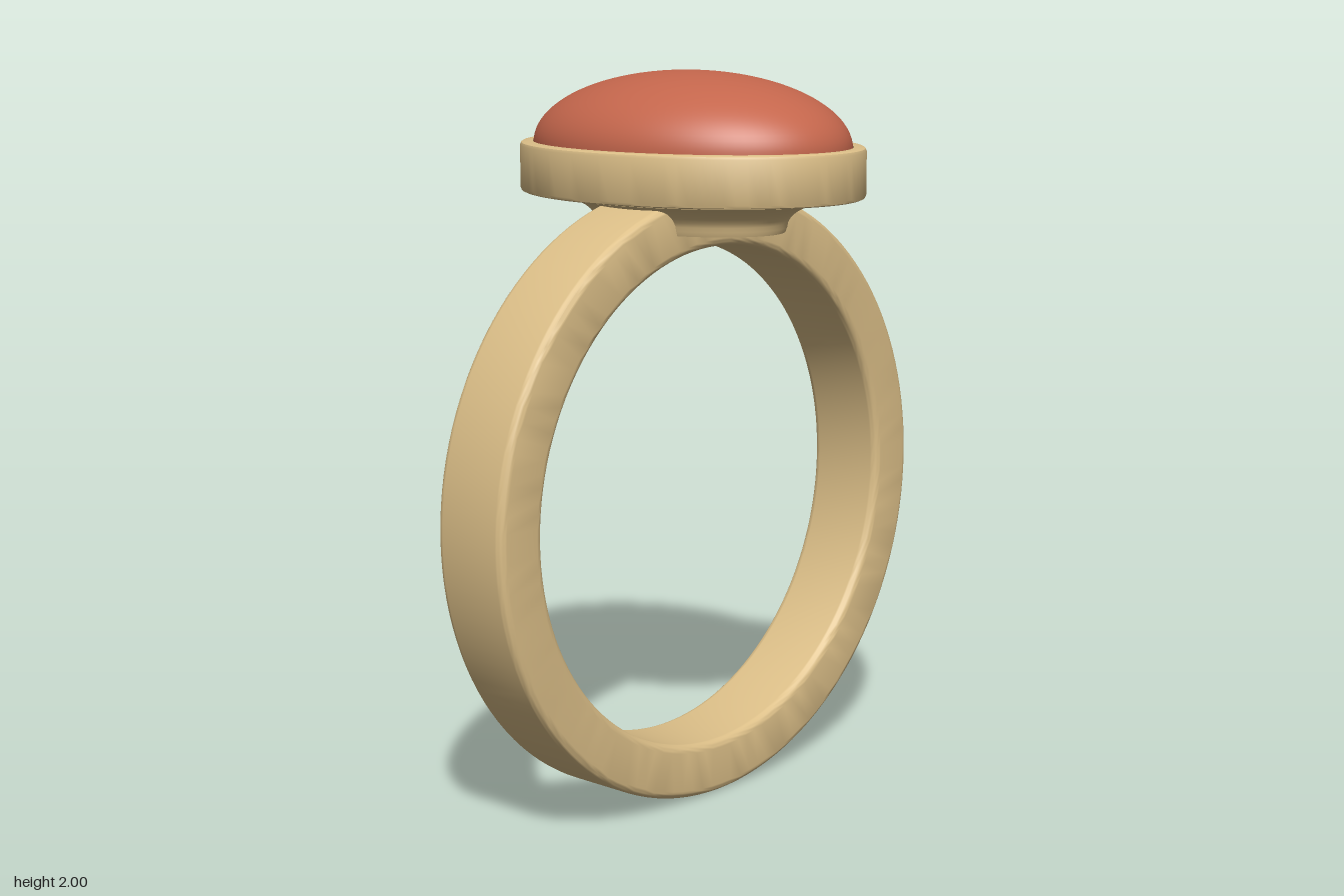
import * as THREE from 'three';
import { toCreasedNormals } from 'three/addons/utils/BufferGeometryUtils.js';

const gold = new THREE.MeshStandardMaterial({ color: 0xdcbf88 });
const red = new THREE.MeshStandardMaterial({ color: 0xc4664c });

// Oval solid from rows of [half width x, half depth z, height y], bottom to top
function ovalLoft(rows, segments = 96) {
  const geo = new THREE.LatheGeometry(rows.map(([a, , y]) => new THREE.Vector2(a, y)), segments);
  const pos = geo.attributes.position;
  for (let i = 0; i < pos.count; i++) {
    const step = Math.floor(i / rows.length) % segments;
    const [a, b, y] = rows[i % rows.length];
    const phi = (step / segments) * Math.PI * 2;
    pos.setXYZ(i, a * Math.sin(phi), y, b * Math.cos(phi));
  }
  return toCreasedNormals(geo, 0.6);
}

// Closed ring section: rectangle with rounded corners, counterclockwise
function bandProfile(inner, outer, half, r) {
  const pts = [];
  const corners = [[outer - r, -half + r], [outer - r, half - r], [inner + r, half - r], [inner + r, -half + r]];
  corners.forEach(([x, y], c) => {
    for (let i = 0; i <= 6; i++) {
      const t = (c - 1 + i / 6) * Math.PI / 2;
      pts.push(new THREE.Vector2(x + r * Math.cos(t), y + r * Math.sin(t)));
    }
  });
  pts.push(pts[0].clone());
  return pts;
}

export function createModel() {
  const group = new THREE.Group();
  const add = (name, geo, mat) => {
    const mesh = new THREE.Mesh(geo, mat);
    mesh.name = name;
    group.add(mesh);
    return mesh;
  };

  // Finger band
  const band = new THREE.LatheGeometry(bandProfile(0.69, 0.84, 0.117, 0.022), 128);
  band.rotateX(Math.PI / 2);
  add('band', toCreasedNormals(band, 0.6), gold).position.y = 0.845;

  // Flared collar between band and setting
  const collar = [[0, 0, 1.577], [0.2, 0.29, 1.577]];
  for (let i = 0; i <= 10; i++) {
    const t = (i / 10) * Math.PI / 2;
    const out = 1 - Math.cos(t);
    collar.push([0.205 + 0.145 * out, 0.295 + 0.165 * out, 1.59 + 0.075 * Math.sin(t)]);
  }
  collar.push([0.35, 0.46, 1.69], [0, 0, 1.69]);
  add('collar', ovalLoft(collar), gold);

  // Bezel rim with softened edges
  add('bezel', ovalLoft([
    [0, 0, 1.67], [0.385, 0.505, 1.67], [0.392, 0.512, 1.673], [0.395, 0.515, 1.68],
    [0.395, 0.515, 1.795], [0.392, 0.512, 1.802], [0.387, 0.507, 1.805],
    [0.357, 0.482, 1.805], [0.357, 0.482, 1.78], [0, 0, 1.78],
  ]), gold);

  // Domed oval stone
  const dome = [[0.355, 0.48, 1.78]];
  for (let i = 0; i <= 24; i++) {
    const t = (i / 24) * Math.PI / 2;
    const c = i === 24 ? 0 : Math.cos(t);
    dome.push([0.355 * c, 0.48 * c, 1.8 + 0.2 * Math.sin(t)]);
  }
  add('stone', ovalLoft(dome), red);

  return group;
}
